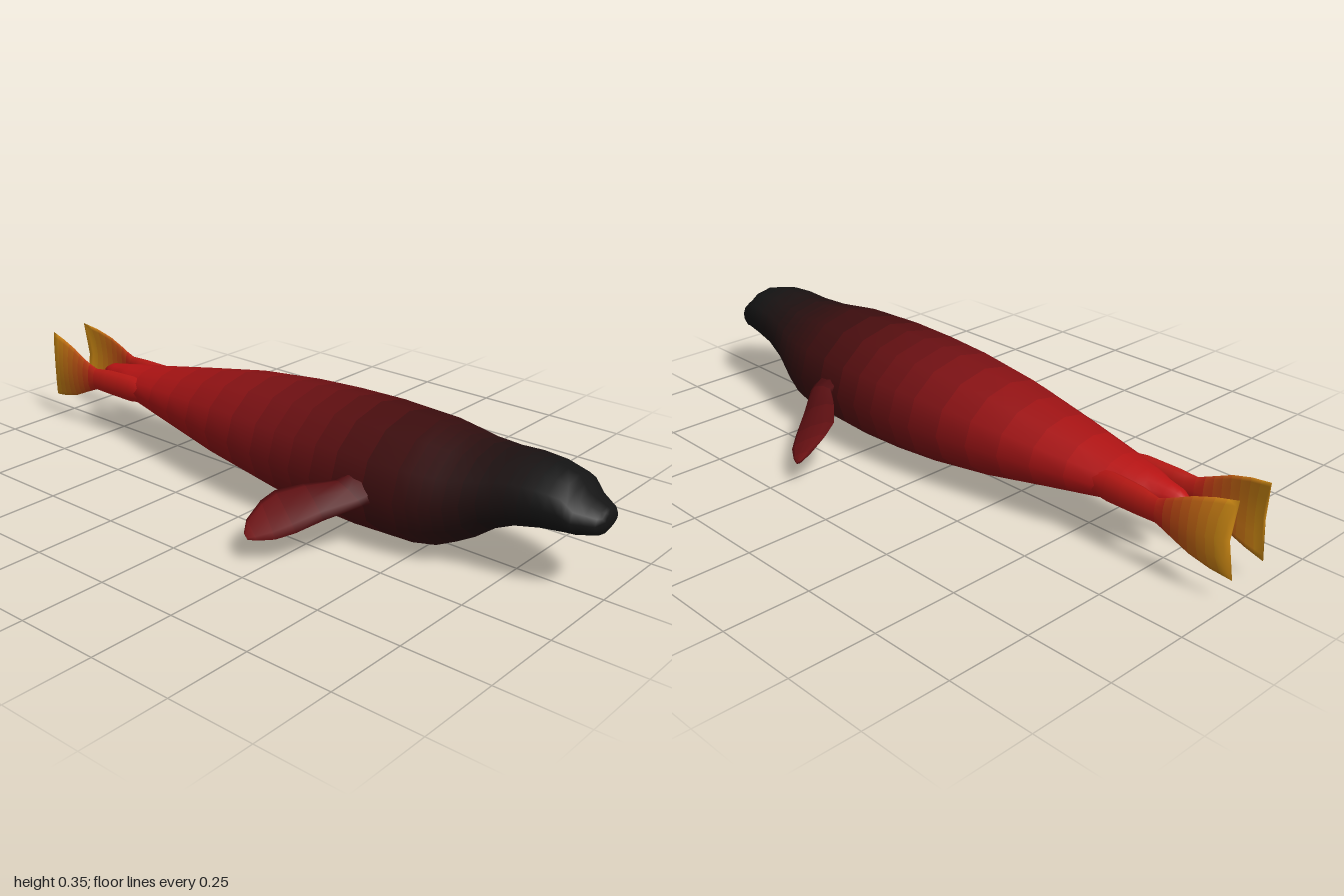
import * as THREE from 'three';

const V = (x, y, z) => new THREE.Vector3(x, y, z);

// Colour at position k along a list of [position, colour] stops
function ramp(stops, k) {
  for (let i = 1; i < stops.length; i++) {
    const [a, ca] = stops[i - 1], [b, cb] = stops[i];
    if (k <= b || i === stops.length - 1) {
      const t = THREE.MathUtils.clamp((k - a) / (b - a), 0, 1);
      return new THREE.Color(ca).lerp(new THREE.Color(cb), t);
    }
  }
}

// Insert linear steps between the rows of a station table
function refine(rows, steps) {
  const out = [];
  rows.forEach((r, i) => {
    const next = rows[i + 1];
    if (!next) return out.push(r);
    for (let s = 0; s < steps; s++) out.push(r.map((v, k) => v + (next[k] - v) * s / steps));
  });
  return out;
}

// Skin a list of rings; each band is a mesh with its own colour, sharing smooth normals
function loft(name, rings, colorAt, side = 1) {
  const n = rings[0].length, last = rings.length - 1;
  const center = r => r.reduce((s, p) => s.add(p), V(0, 0, 0)).divideScalar(n);
  const points = [...rings.flat(), center(rings[0]), center(rings[last])];
  const position = new THREE.Float32BufferAttribute(points.flatMap(p => [p.x * side, p.y, p.z]), 3);
  const bands = [];
  const add = (list, a, b, c) => side > 0 ? list.push(a, b, c) : list.push(a, c, b);
  for (let i = 0; i < last; i++) {
    const list = [];
    for (let j = 0; j < n; j++) {
      const k = (j + 1) % n, a = i * n + j, b = i * n + k;
      add(list, a, a + n, b);
      add(list, b, a + n, b + n);
      if (i === 0) add(list, a, b, points.length - 2);
      if (i === last - 1) add(list, b + n, a + n, points.length - 1);
    }
    bands.push(list);
  }
  const whole = new THREE.BufferGeometry();
  whole.setAttribute('position', position);
  whole.setIndex(bands.flat());
  whole.computeVertexNormals();
  const group = new THREE.Group();
  group.name = name;
  bands.forEach((list, i) => {
    // Keep only the vertices used by this band
    const geo = new THREE.BufferGeometry();
    for (const key of ['position', 'normal']) {
      const src = whole.getAttribute(key);
      geo.setAttribute(key, new THREE.Float32BufferAttribute(
        list.flatMap(v => [src.getX(v), src.getY(v), src.getZ(v)]), 3));
    }
    const mesh = new THREE.Mesh(geo, new THREE.MeshStandardMaterial({ color: colorAt((i + 0.5) / last, i) }));
    mesh.name = name + 'Band';
    group.add(mesh);
  });
  return group;
}

// Body stations: z, half width, top, bottom
const BODY = [
  [1.0, 0.03, 0.243, 0.205], [0.985, 0.055, 0.252, 0.18], [0.935, 0.088, 0.273, 0.168],
  [0.905, 0.1, 0.312, 0.165], [0.84, 0.115, 0.327, 0.158], [0.77, 0.125, 0.331, 0.142],
  [0.7, 0.14, 0.326, 0.11], [0.62, 0.166, 0.328, 0.05], [0.56, 0.184, 0.336, 0.02],
  [0.49, 0.198, 0.345, 0.006], [0.3, 0.212, 0.35, 0.002], [0.15, 0.212, 0.346, 0.008],
  [0, 0.202, 0.338, 0.02], [-0.2, 0.175, 0.317, 0.047], [-0.4, 0.136, 0.28, 0.086],
  [-0.6, 0.092, 0.242, 0.122], [-0.68, 0.07, 0.23, 0.137], [-0.73, 0.044, 0.222, 0.145],
  [-0.785, 0.029, 0.212, 0.16], [-0.815, 0.012, 0.195, 0.175],
];
const BODY_COLORS = [[-0.85, 0xc01414], [-0.6, 0xb41414], [0, 0x741114], [0.4, 0x400d0e], [0.7, 0x1e1010], [0.85, 0x141414]];

function body() {
  const rows = refine(BODY, 2);
  const rings = rows.map(([z, w, top, bottom]) => Array.from({ length: 12 }, (_, j) => {
    const a = j / 12 * Math.PI * 2;
    return V(w * Math.cos(a), (top + bottom) / 2 + (top - bottom) / 2 * Math.sin(a), z);
  }));
  return loft('body', rings, (t, i) => ramp(BODY_COLORS, (rows[i][0] + rows[i + 1][0]) / 2));
}

// Fore flipper stations: leading edge xyz, trailing edge xyz, half thickness
const FORE = [
  [0.15, 0.165, 0.45, 0.15, 0.21, 0.33, 0.035],
  [0.215, 0.15, 0.41, 0.22, 0.2, 0.32, 0.026],
  [0.3, 0.122, 0.352, 0.262, 0.183, 0.25, 0.02],
  [0.36, 0.095, 0.31, 0.31, 0.163, 0.192, 0.016],
  [0.4, 0.08, 0.275, 0.35, 0.143, 0.178, 0.012],
  [0.425, 0.073, 0.235, 0.405, 0.108, 0.178, 0.008],
  [0.435, 0.071, 0.21, 0.43, 0.083, 0.192, 0.004],
];

function foreFlipper(side) {
  const span = V(0.25, -0.1, -0.16).normalize();
  const rings = FORE.map(([lx, ly, lz, tx, ty, tz, th]) => {
    const lead = V(lx, ly, lz), trail = V(tx, ty, tz);
    const mid = lead.clone().add(trail).multiplyScalar(0.5);
    const u = lead.sub(mid), v = u.clone().cross(span).normalize().multiplyScalar(th);
    return Array.from({ length: 8 }, (_, j) => {
      const a = j / 8 * Math.PI * 2;
      return mid.clone().addScaledVector(u, Math.cos(a)).addScaledVector(v, Math.sin(a));
    });
  });
  return loft(side > 0 ? 'leftForeFlipper' : 'rightForeFlipper', rings,
    t => ramp([[0, 0x4a0d10], [1, 0x761416]], t), side);
}

// Hind flipper stations: z, centre x, half thickness, centre y, half height, cupping, notch
const HIND = [
  [-0.54, 0.062, 0.03, 0.182, 0.03, 0, 0],
  [-0.62, 0.067, 0.029, 0.182, 0.042, 0, 0],
  [-0.72, 0.072, 0.024, 0.182, 0.04, 0, 0],
  [-0.78, 0.079, 0.015, 0.181, 0.035, 0, 0],
  [-0.83, 0.084, 0.01, 0.181, 0.056, 0.003, 0],
  [-0.88, 0.086, 0.008, 0.181, 0.079, 0.008, 0],
  [-0.94, 0.085, 0.006, 0.181, 0.097, 0.013, 0.01],
  [-1.0, 0.081, 0.003, 0.181, 0.108, 0.017, 0.022],
];
const HIND_COLORS = [[0, 0xb41414], [0.45, 0xb81c14], [0.7, 0xc05a14], [1, 0xcc8c14]];

function hindFlipper(side) {
  const rings = refine(HIND, 2).map(([z, x, th, y, h, cup, notch]) => Array.from({ length: 12 }, (_, j) => {
    const a = j / 12 * Math.PI * 2, s = Math.sin(a);
    return V(x + th * Math.cos(a) - cup * s * s, y + h * s, z + notch * (1 - s * s));
  }));
  return loft(side > 0 ? 'leftHindFlipper' : 'rightHindFlipper', rings, t => ramp(HIND_COLORS, t), side);
}

export function createModel() {
  const model = new THREE.Group();
  model.name = 'seal';
  model.add(body());
  for (const side of [1, -1]) model.add(foreFlipper(side), hindFlipper(side));
  return model;
}
